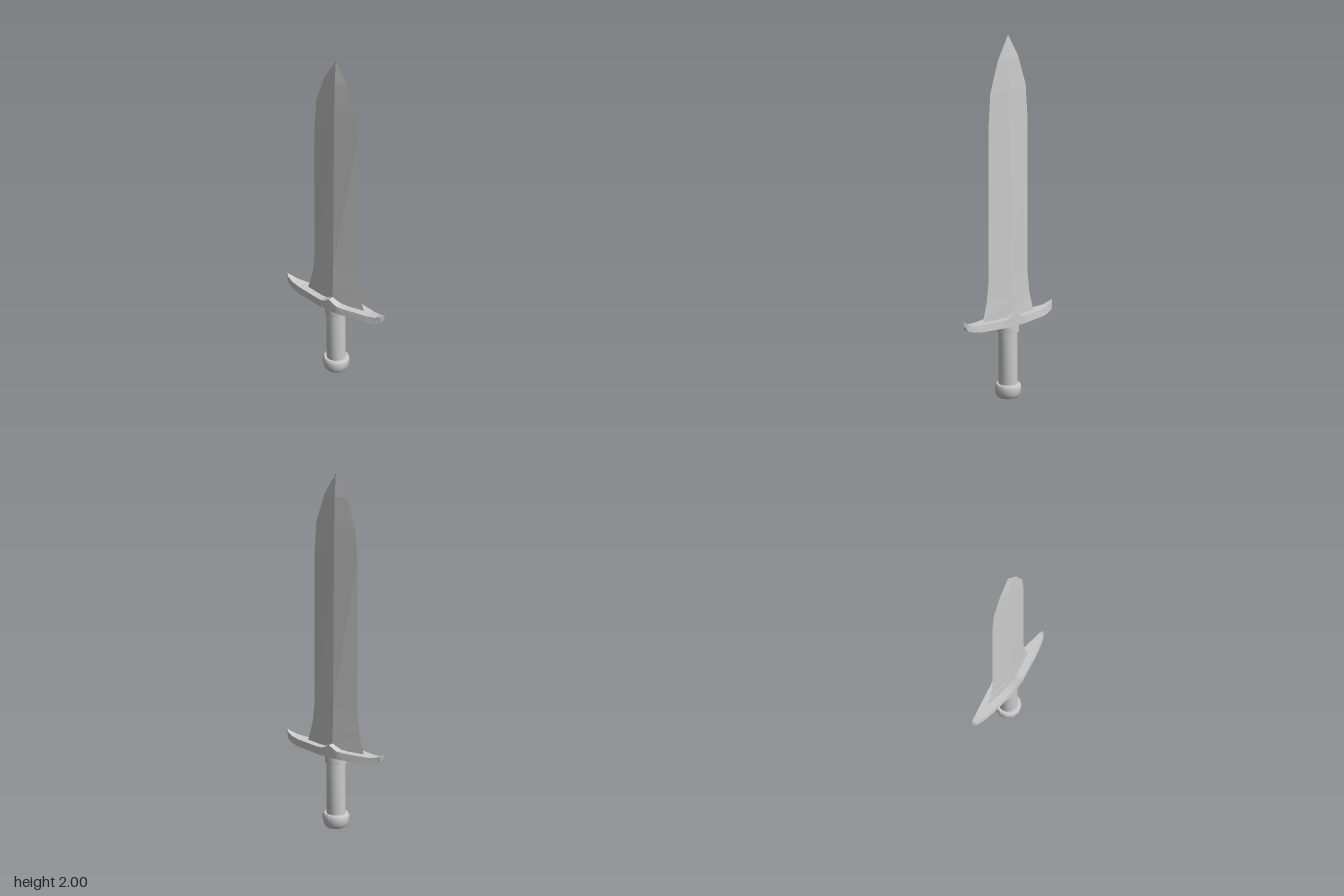
import * as THREE from 'three';
import { toCreasedNormals } from 'three/addons/utils/BufferGeometryUtils.js';

// Skin a row of matching loops (counter-clockwise around the row's direction) and cap both ends.
function loft(loops) {
  const pos = [], n = loops[0].length, last = loops.length - 1;
  const tri = (a, b, c) => pos.push(...a, ...b, ...c);
  for (let i = 0; i < last; i++) {
    for (let j = 0; j < n; j++) {
      const k = (j + 1) % n;
      const a = loops[i][j], b = loops[i][k], c = loops[i + 1][k], d = loops[i + 1][j];
      tri(a, b, c);
      tri(a, c, d);
    }
  }
  for (let j = 1; j < n - 1; j++) {
    tri(loops[0][0], loops[0][j + 1], loops[0][j]);
    tri(loops[last][0], loops[last][j], loops[last][j + 1]);
  }
  const geo = new THREE.BufferGeometry();
  geo.setAttribute('position', new THREE.Float32BufferAttribute(pos, 3));
  geo.computeVertexNormals();
  return geo;
}

// Twelve-sided turned part from [radius, y] points.
function turned(points) {
  const profile = points.map(([r, y]) => new THREE.Vector2(r, y));
  return toCreasedNormals(new THREE.LatheGeometry(profile, 12), 0.6);
}

export function createModel() {
  const sword = new THREE.Group();
  sword.name = 'sword';
  const smooth = new THREE.MeshStandardMaterial({ color: 0xcccccc });
  const flat = new THREE.MeshStandardMaterial({ color: 0xcccccc, flatShading: true });
  const add = (name, geo, mat) => {
    const mesh = new THREE.Mesh(geo, mat);
    mesh.name = name;
    sword.add(mesh);
  };

  // Blade: diamond sections [y, half width, half thickness]
  const blade = [
    [0.43, 0.187, 0.03], [0.45, 0.182, 0.03], [0.55, 0.155, 0.029], [0.67, 0.141, 0.027],
    [1.53, 0.141, 0.018], [1.7, 0.129, 0.016], [1.87, 0.074, 0.012], [2, 0.0005, 0.0005],
  ];
  add('blade', loft(blade.map(([y, w, d]) => [[w, y, 0], [0, y, -d], [-w, y, 0], [0, y, d]])), flat);

  // Guard: half profile [x, bottom y, top y, bottom half depth, top half depth], mirrored in x
  const half = [
    [0, 0.405, 0.475, 0.062, 0.062], [0.025, 0.405, 0.46, 0.062, 0.062],
    [0.05, 0.405, 0.449, 0.062, 0.061], [0.09, 0.405, 0.445, 0.056, 0.053],
    [0.225, 0.406, 0.445, 0.034, 0.03], [0.27, 0.412, 0.45, 0.023, 0.021],
    [0.305, 0.424, 0.462, 0.013, 0.013], [0.321, 0.453, 0.475, 0.001, 0.001],
  ];
  const mirrored = half.slice(1).reverse().map(([x, ...rest]) => [-x, ...rest]);
  add('guard', loft([...mirrored, ...half].map(([x, b, t, zb, zt]) =>
    [[x, t, zt], [x, b, zb], [x, b, -zb], [x, t, -zt]])), flat);

  // Hilt: collar under the guard, grip and pommel
  add('collar', turned([[0, 0.365], [0.06, 0.365], [0.06, 0.41], [0, 0.41]]), smooth);
  add('grip', turned([[0, 0.06], [0.051, 0.06], [0.051, 0.37], [0, 0.37]]), smooth);
  add('pommel', turned([
    [0, 0], [0.054, 0], [0.066, 0.017], [0.071, 0.04], [0.071, 0.064], [0.064, 0.075], [0, 0.075],
  ]), smooth);

  return sword;
}
